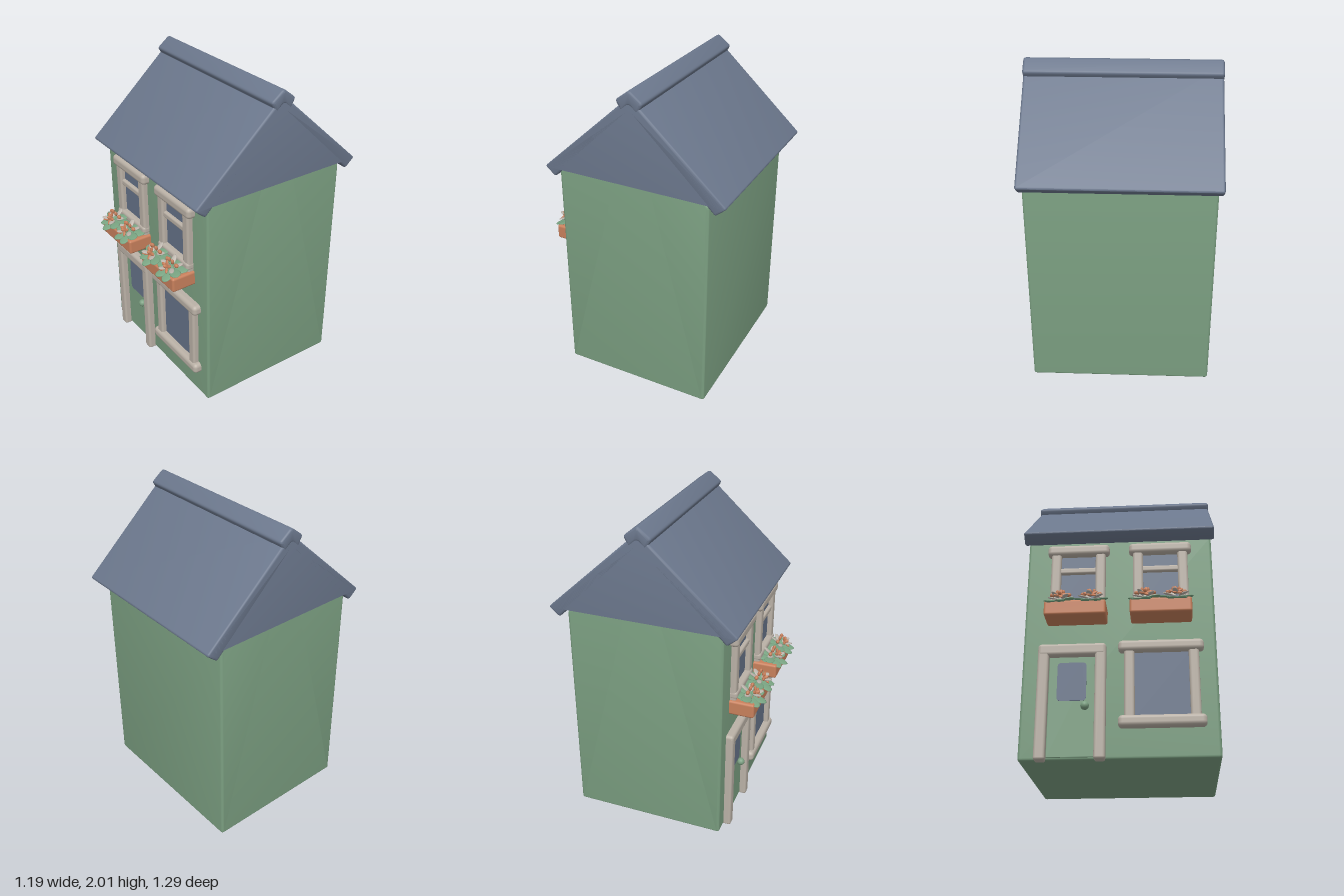
import * as THREE from 'three';
import { toCreasedNormals } from 'three/addons/utils/BufferGeometryUtils.js';
import { RoundedBoxGeometry } from 'three/addons/geometries/RoundedBoxGeometry.js';

const mat = (name, color) => {
  const m = new THREE.MeshStandardMaterial({ color });
  m.name = name;
  return m;
};

// Polygon with softly rounded corners
function roundedShape(points, r) {
  const p = points.map(([x, y]) => new THREE.Vector2(x, y));
  const shape = new THREE.Shape();
  p.forEach((c, i) => {
    const toward = (q) => c.clone().add(q.clone().sub(c).setLength(r));
    const a = toward(p[(i + p.length - 1) % p.length]);
    const b = toward(p[(i + 1) % p.length]);
    if (i === 0) shape.moveTo(a.x, a.y);
    else shape.lineTo(a.x, a.y);
    shape.quadraticCurveTo(c.x, c.y, b.x, b.y);
  });
  shape.closePath();
  return shape;
}

// Gable profile (local x = -z) swept across the width of the house
function sweepAcross(points, width, r) {
  const geo = new THREE.ExtrudeGeometry(roundedShape(points, r), {
    depth: width - 2 * r, curveSegments: 4,
    bevelEnabled: true, bevelThickness: r, bevelSize: r, bevelOffset: -r, bevelSegments: 3,
  });
  geo.translate(0, 0, r - width / 2);
  geo.rotateY(Math.PI / 2);
  return toCreasedNormals(geo, 0.75);
}

export function createModel() {
  const house = new THREE.Group();
  house.name = 'townhouse';
  const wall = mat('wall green', 0x7ca082);
  const slate = mat('roof slate', 0x6b778c);
  const trim = mat('trim stone', 0xbab1a6);
  const glass = mat('window glass', 0x667389);
  const clay = mat('terracotta', 0xc8805c);
  const leafGreen = mat('leaf green', 0x7aa583);
  const petalWhite = mat('petal white', 0xbcb5ac);

  const add = (parent, name, geo, material, x = 0, y = 0, z = 0) => {
    const m = new THREE.Mesh(geo, material);
    m.name = name;
    m.position.set(x, y, z);
    parent.add(m);
    return m;
  };
  // Rounded box given by its extents
  const block = (parent, name, material, [x0, x1], [y0, y1], [z0, z1], r = 0.015) =>
    add(parent, name, new RoundedBoxGeometry(x1 - x0, y1 - y0, z1 - z0, 3, r), material,
      (x0 + x1) / 2, (y0 + y1) / 2, (z0 + z1) / 2);
  const pane = (parent, [x0, x1], [y0, y1]) =>
    add(parent, 'glass', new THREE.BoxGeometry(x1 - x0, y1 - y0, 0.008), glass,
      (x0 + x1) / 2, (y0 + y1) / 2, 0.432);

  const F = 0.43; // front wall plane

  // Walls with gable ends
  add(house, 'walls', sweepAcross(
    [[-F, 0.005], [0.55, 0.005], [0.55, 1.41], [0.07, 1.905], [-F, 1.41]], 1.14, 0.016), wall);

  // Roof slopes and ridge cap, mirrored about the ridge line
  const vee = (half) => [
    ...half.map(([d, y]) => [0.07 + d, y]),
    ...half.slice(1, -1).reverse().map(([d, y]) => [0.07 - d, y]),
  ];
  // Half profiles start and end on the ridge line
  add(house, 'roof', sweepAcross(
    vee([[0, 1.885], [0.525, 1.378], [0.592, 1.435], [0, 1.975]]), 1.185, 0.014), slate, -0.002);
  add(house, 'ridgeCap', sweepAcross(
    vee([[0, 1.93], [0.05, 1.885], [0.086, 1.945], [0, 2.012]]), 1.19, 0.016), slate, -0.002);

  // Door with surround
  const door = new THREE.Group();
  door.name = 'door';
  house.add(door);
  block(door, 'doorPanel', wall, [-0.41, -0.14], [0.02, 0.625], [F - 0.02, F + 0.004], 0.004);
  for (const x of [-0.475, -0.14])
    block(door, 'doorPost', trim, [x, x + 0.065], [0, 0.685], [F - 0.03, 0.475]);
  block(door, 'doorLintel', trim, [-0.475, -0.075], [0.62, 0.695], [F - 0.03, 0.477], 0.02);
  const doorGlass = new THREE.ExtrudeGeometry(
    roundedShape([[-0.36, 0.35], [-0.19, 0.35], [-0.19, 0.585], [-0.36, 0.585]], 0.025),
    { depth: 0.008, bevelEnabled: false });
  add(door, 'doorGlass', doorGlass, glass, 0, 0, F);
  add(door, 'doorKnob', new THREE.SphereGeometry(0.025, 16, 12), wall, -0.195, 0.315, F + 0.02);

  // Large ground-floor window
  const big = new THREE.Group();
  big.name = 'groundWindow';
  house.add(big);
  pane(big, [0.07, 0.43], [0.22, 0.66]);
  for (const x of [0.03, 0.405])
    block(big, 'windowPost', trim, [x, x + 0.06], [0.2, 0.67], [F - 0.03, 0.467]);
  for (const y of [0.18, 0.637])
    block(big, y < 0.5 ? 'sill' : 'lintel', trim, [-0.005, 0.495], [y, y + 0.07], [F - 0.03, 0.48], 0.025);

  // Flowers: leaves, pale petals and an orange blossom, all from one squashed ball
  const ball = new THREE.SphereGeometry(1, 10, 8);
  function ring(parent, name, material, n, spec) {
    for (let i = 0; i < n; i++) {
      const arm = new THREE.Group();
      arm.rotation.y = spec.start + (i / n) * Math.PI * 2;
      arm.position.y = spec.y;
      parent.add(arm);
      const tilt = new THREE.Group();
      tilt.rotation.z = spec.tilt + (i % 2) * 0.2;
      arm.add(tilt);
      const m = add(tilt, name, ball, material, spec.out);
      m.scale.set(spec.len, spec.thick, spec.wide);
    }
  }
  function plant(parent, x, turn) {
    const p = new THREE.Group();
    p.name = 'plant';
    p.position.set(x, 0.935, 0.535);
    p.rotation.x = 0.25;
    parent.add(p);
    ring(p, 'leaf', leafGreen, 7, { start: turn - Math.PI / 2, y: 0, tilt: -0.08, out: 0.06, len: 0.046, thick: 0.006, wide: 0.033 });
    ring(p, 'palePetal', petalWhite, 5, { start: turn + 0.3, y: 0.015, tilt: 0.25, out: 0.05, len: 0.034, thick: 0.006, wide: 0.017 });
    // Open blossom leaning forward
    const bloom = new THREE.Group();
    bloom.name = 'blossom';
    bloom.position.set(0, 0.035, 0.025);
    bloom.rotation.x = 0.7;
    p.add(bloom);
    ring(bloom, 'blossomPetal', clay, 5, { start: turn, y: 0, tilt: 0.2, out: 0.022, len: 0.024, thick: 0.007, wide: 0.011 });
    add(bloom, 'blossomHeart', ball, clay, 0, 0.008, 0).scale.set(0.012, 0.022, 0.012);
    for (const s of [-1, 1]) {
      add(p, 'bud', ball, clay, s * 0.048, 0.045, -0.015).scale.set(0.017, 0.013, 0.012);
      add(p, 'bud', ball, clay, s * 0.018, 0.06, -0.012).scale.set(0.01, 0.017, 0.01);
    }
  }

  // Upper sash windows with planted boxes
  for (const side of [-1, 1]) {
    const cx = side * 0.252;
    const w = new THREE.Group();
    w.name = side < 0 ? 'upperWindowRight' : 'upperWindowLeft';
    house.add(w);
    pane(w, [cx - 0.13, cx + 0.13], [0.93, 1.32]);
    for (const s of [-1, 1])
      block(w, 'windowPost', trim, [cx + s * 0.137 - 0.031, cx + s * 0.137 + 0.031], [0.9, 1.32], [F - 0.03, 0.467]);
    block(w, 'lintel', trim, [cx - 0.192, cx + 0.192], [1.293, 1.365], [F - 0.03, 0.478], 0.025);
    block(w, 'sashBar', trim, [cx - 0.115, cx + 0.115], [1.17, 1.21], [F - 0.02, 0.458], 0.012);
    block(w, 'sill', trim, [cx - 0.17, cx + 0.17], [0.93, 0.985], [F - 0.03, 0.475], 0.02);
    block(w, 'flowerBox', clay, [cx - 0.182, cx + 0.182], [0.83, 0.925], [F - 0.02, 0.585], 0.014);
    add(w, 'foliage', ball, leafGreen, cx, 0.92, 0.5).scale.set(0.165, 0.025, 0.06);
    plant(w, cx - 0.092, 0.1);
    plant(w, cx + 0.092, 0.5);
  }
  return house;
}
